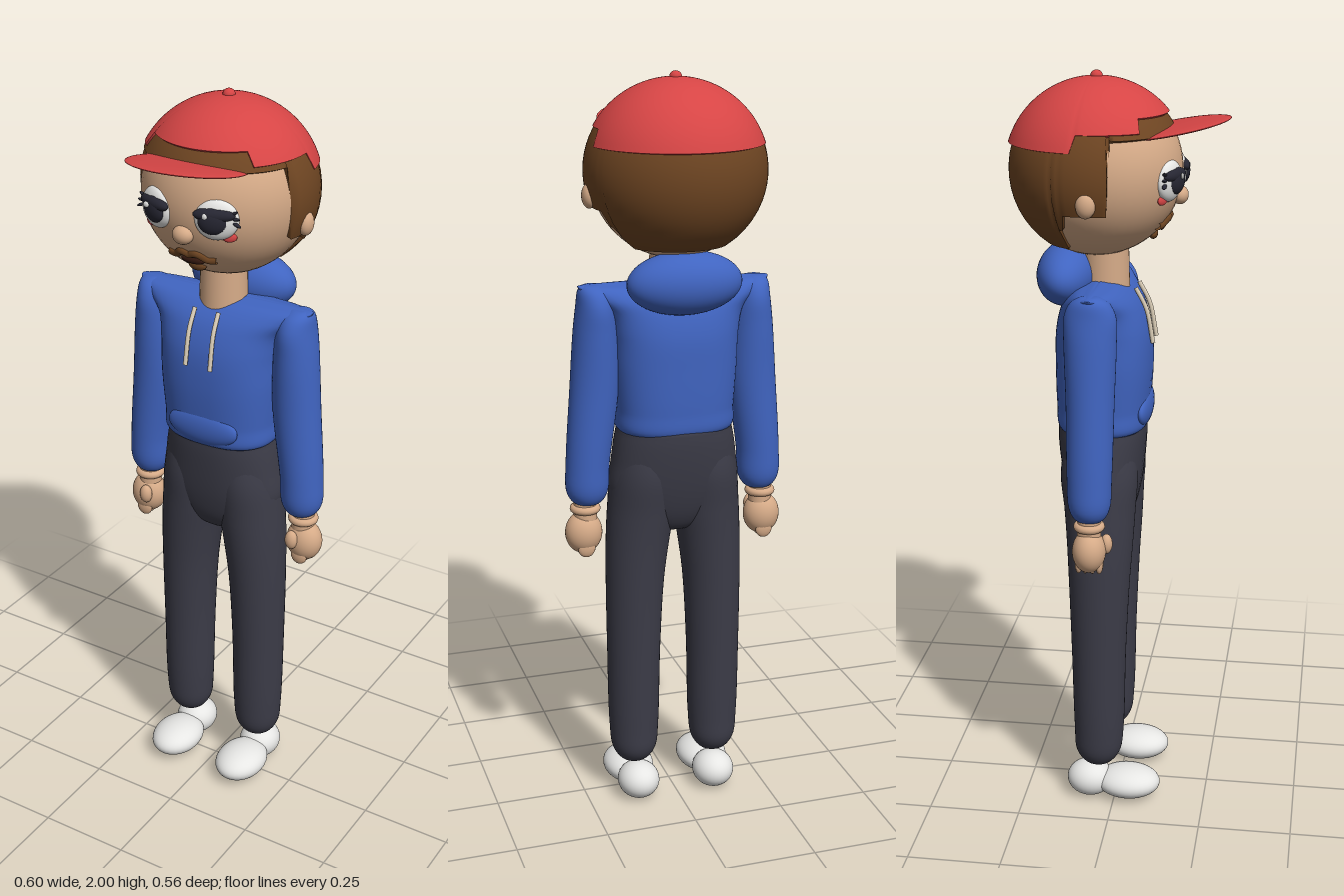
import * as THREE from 'three';

const mat = (name, color, side = THREE.FrontSide) => {
  const m = new THREE.MeshStandardMaterial({ color, side });
  m.name = name;
  return m;
};

// Smooth closed loft through sections [y, cx, cz, halfX, halfZ], listed from the bottom up
function loft(sections, power = 2, n = 40, steps = 48) {
  const mid = new THREE.CatmullRomCurve3(sections.map(s => new THREE.Vector3(s[1], s[0], s[2])));
  const half = new THREE.CatmullRomCurve3(sections.map(s => new THREE.Vector3(s[3], s[0], s[4])));
  const pos = [], idx = [];
  const bend = v => Math.sign(v) * Math.abs(v) ** (2 / power);
  for (let j = 0; j <= steps; j++) {
    const c = mid.getPoint(j / steps), h = half.getPoint(j / steps);
    for (let i = 0; i < n; i++) {
      const a = i / n * Math.PI * 2;
      pos.push(c.x + h.x * bend(Math.cos(a)), h.y, c.z + h.z * bend(Math.sin(a)));
      if (j === steps) continue;
      const p = j * n + i, q = j * n + (i + 1) % n;
      idx.push(p, p + n, q, q, p + n, q + n);
    }
  }
  return finish(pos, idx);
}

// Ellipsoid shell whose lower edge height depends on the angle from the front, with a turned-in lip
function shell(rx, ry, rz, edge, n = 120, rows = 20) {
  const pos = [], idx = [];
  for (let j = 0; j <= rows + 2; j++) {
    const s = j === rows + 2 ? 0.92 : 1;
    for (let i = 0; i < n; i++) {
      const a = i / n * Math.PI * 2;
      const fromFront = Math.min(a, Math.PI * 2 - a) * 180 / Math.PI;
      const t = Math.acos(edge(fromFront) / ry) * Math.min(j / rows, 1);
      pos.push(s * rx * Math.sin(t) * Math.sin(a), s * ry * Math.cos(t), s * rz * Math.sin(t) * Math.cos(a));
      if (j === rows || j === rows + 2) continue;
      const p = j * n + i, q = j * n + (i + 1) % n;
      idx.push(p, p + n, q, q, p + n, q + n);
    }
  }
  return finish(pos, idx);
}

function finish(pos, idx) {
  const g = new THREE.BufferGeometry();
  g.setAttribute('position', new THREE.Float32BufferAttribute(pos, 3));
  g.setIndex(idx);
  g.computeVertexNormals();
  return g;
}

export function createModel() {
  const skin = mat('skin', 0xd6ab88), hairBrown = mat('hair brown', 0x6e4522, THREE.DoubleSide);
  const red = mat('cap red', 0xd64545, THREE.DoubleSide), blue = mat('hoodie blue', 0x4064c0);
  const charcoal = mat('trouser charcoal', 0x3c3c48), white = mat('white', 0xe6e6e4);
  const dark = mat('eye dark', 0x262632), cream = mat('string cream', 0xdccfb8);
  const mouthDark = mat('mouth dark', 0x3a1c12);

  const group = new THREE.Group();
  const add = (name, geo, material, x = 0, y = 0, z = 0) => {
    const m = new THREE.Mesh(geo, material);
    m.name = name;
    m.position.set(x, y, z);
    group.add(m);
    return m;
  };
  const ball = (name, material, p, r, seg = 32) => {
    const m = add(name, new THREE.SphereGeometry(1, seg, seg * 0.75), material, ...p);
    m.scale.set(...r);
    return m;
  };
  const tube = (name, points, r, material) => add(name, new THREE.TubeGeometry(
    new THREE.CatmullRomCurve3(points.map(p => new THREE.Vector3(...p))), 16, r, 8), material);

  // Head, hair and cap share one centre
  const C = [0, 1.755, -0.06];
  const faceZ = (x, y) => C[2] + Math.sqrt(0.22 ** 2 - x * x - (y - C[1]) ** 2);
  ball('head', skin, C, [0.219, 0.22, 0.22], 48);
  add('hair', shell(0.235, 0.226, 0.224, a =>
    a < 74 ? 0.098 : a < 106 ? -0.085 : a < 113 ? -0.125 : -0.185), hairBrown, ...C);
  add('capCrown', shell(0.237, 0.231, 0.235, a =>
    a < 48 ? 0.145 : a < 98 ? 0.112 : 0.07), red, ...C);
  ball('capButton', red, [0, 1.985, -0.06], [0.016, 0.015, 0.016], 16);
  ball('capBrim', red, [0, 1.859, 0.131], [0.148, 0.01, 0.152], 40).rotation.x = -0.19;

  // Nose, moustache, mouth and chin beard
  ball('nose', skin, [0, 1.692, 0.153], [0.028, 0.024, 0.022]);
  ball('mouth', mouthDark, [0, 1.613, faceZ(0, 1.613)], [0.034, 0.011, 0.008], 16);
  ball('chinBeard', hairBrown, [0, 1.592, faceZ(0, 1.592) - 0.002], [0.026, 0.015, 0.012], 16);
  for (const s of [-1, 1]) {
    const onFace = (x, y, lift = 0) => [s * x, y, faceZ(x, y) + lift];
    tube('moustache', [onFace(0, 1.632), onFace(0.022, 1.638), onFace(0.045, 1.622), onFace(0.066, 1.622)],
      0.0105, hairBrown);

    // Eyes
    ball('eyeWhite', white, [s * 0.085, 1.742, 0.134], [0.055, 0.052, 0.024]).rotation.y = s * 0.38;
    ball('iris', dark, [s * 0.083, 1.742, 0.15], [0.037, 0.034, 0.018]).rotation.y = s * 0.38;
    ball('upperLid', dark, [s * 0.085, 1.757, 0.147], [0.052, 0.018, 0.018]).rotation.y = s * 0.38;
    ball('eyeGlint', white, [s * 0.083 - 0.012, 1.756, 0.168], [0.008, 0.008, 0.004], 12);
    for (const k of [0, 1, 2])
      ball('eyelash', dark, [s * (0.128 + k * 0.004), 1.762 - k * 0.013, 0.128], [0.014, 0.004, 0.006], 10)
        .rotation.z = s * (0.5 - k * 0.45);
    ball('cheek', red, onFace(0.114, 1.697, 0.002), [0.018, 0.012, 0.006], 16).rotation.y = s * 0.55;
    ball('ear', skin, [s * 0.224, 1.7, -0.055], [0.02, 0.032, 0.025], 20);
  }

  // Neck
  add('neck', new THREE.CylinderGeometry(0.06, 0.064, 0.16, 32), skin, 0, 1.49, -0.038);

  // Hoodie body with a ridge along the shoulders
  add('hoodieBody', loft([
    [1.08, 0, -0.042, 0, 0], [1.082, 0, -0.042, 0.153, 0.116], [1.14, 0, -0.042, 0.158, 0.122],
    [1.25, 0, -0.04, 0.166, 0.126], [1.34, 0, -0.042, 0.17, 0.122], [1.4, 0, -0.045, 0.184, 0.106],
    [1.44, 0, -0.047, 0.225, 0.082], [1.465, 0, -0.047, 0.255, 0.05], [1.472, 0, -0.047, 0.25, 0.02],
    [1.473, 0, -0.047, 0, 0]], 2.5, 48, 72), blue);
  ball('hood', blue, [0, 1.482, -0.138], [0.152, 0.082, 0.078], 40);
  ball('pocket', blue, [0, 1.13, 0.066], [0.105, 0.05, 0.023]);

  // Hips
  add('hips', loft([
    [0.79, 0, -0.04, 0, 0], [0.8, 0, -0.04, 0.06, 0.05], [0.84, 0, -0.04, 0.13, 0.08],
    [0.91, 0, -0.042, 0.176, 0.1], [1.0, 0, -0.045, 0.169, 0.113],
    [1.07, 0, -0.046, 0.157, 0.117], [1.09, 0, -0.046, 0.15, 0.114], [1.091, 0, -0.046, 0, 0]], 2.2), charcoal);

  for (const s of [-1, 1]) {
    // Sleeve, cuff and hand
    add('sleeve', loft([
      [0.885, s * 0.24, -0.047, 0, 0], [0.89, s * 0.24, -0.047, 0.036, 0.036],
      [0.92, s * 0.24, -0.047, 0.055, 0.053], [1.0, s * 0.237, -0.047, 0.058, 0.058],
      [1.2, s * 0.217, -0.047, 0.064, 0.062], [1.35, s * 0.212, -0.047, 0.057, 0.067],
      [1.42, s * 0.212, -0.047, 0.048, 0.066], [1.455, s * 0.215, -0.047, 0.041, 0.05],
      [1.471, s * 0.22, -0.047, 0.025, 0.025], [1.473, s * 0.22, -0.047, 0, 0]]), blue);
    const cuff = add('wristBand', new THREE.TorusGeometry(0.03, 0.011, 12, 32), skin, s * 0.246, 0.872, -0.047);
    cuff.rotation.x = Math.PI / 2;
    add('wrist', new THREE.CylinderGeometry(0.03, 0.032, 0.08, 24), skin, s * 0.246, 0.86, -0.047);
    ball('palm', skin, [s * 0.251, 0.805, -0.047], [0.05, 0.058, 0.044]);
    ball('thumb', skin, [s * 0.234, 0.82, -0.004], [0.018, 0.027, 0.016], 20);
    for (const k of [0, 1, 2, 3])
      ball('finger', skin, [s * 0.25, 0.768, -0.074 + k * 0.018], [0.024, 0.026, 0.01], 14);

    // Drawstring
    tube('drawstring', [[s * 0.035, 1.455, 0.045], [s * 0.036, 1.4, 0.073], [s * 0.037, 1.31, 0.091]], 0.006, cream);

    // Trouser leg and shoe
    add('trouserLeg', loft([
      [0.11, s * 0.115, -0.045, 0, 0], [0.115, s * 0.115, -0.045, 0.035, 0.035],
      [0.15, s * 0.115, -0.045, 0.06, 0.061], [0.22, s * 0.115, -0.043, 0.068, 0.068],
      [0.45, s * 0.114, -0.043, 0.073, 0.074], [0.65, s * 0.109, -0.042, 0.079, 0.082],
      [0.77, s * 0.1, -0.041, 0.086, 0.089], [0.86, s * 0.09, -0.042, 0.091, 0.095],
      [0.97, s * 0.082, -0.045, 0.088, 0.102], [1.05, s * 0.075, -0.045, 0.07, 0.08],
      [1.06, s * 0.075, -0.045, 0, 0]]), charcoal);
    ball('shoeToe', white, [s * 0.11, 0.05, 0.037], [0.07, 0.044, 0.09]);
    ball('shoeHeel', white, [s * 0.11, 0.054, -0.07], [0.058, 0.051, 0.064]);
  }
  return group;
}
